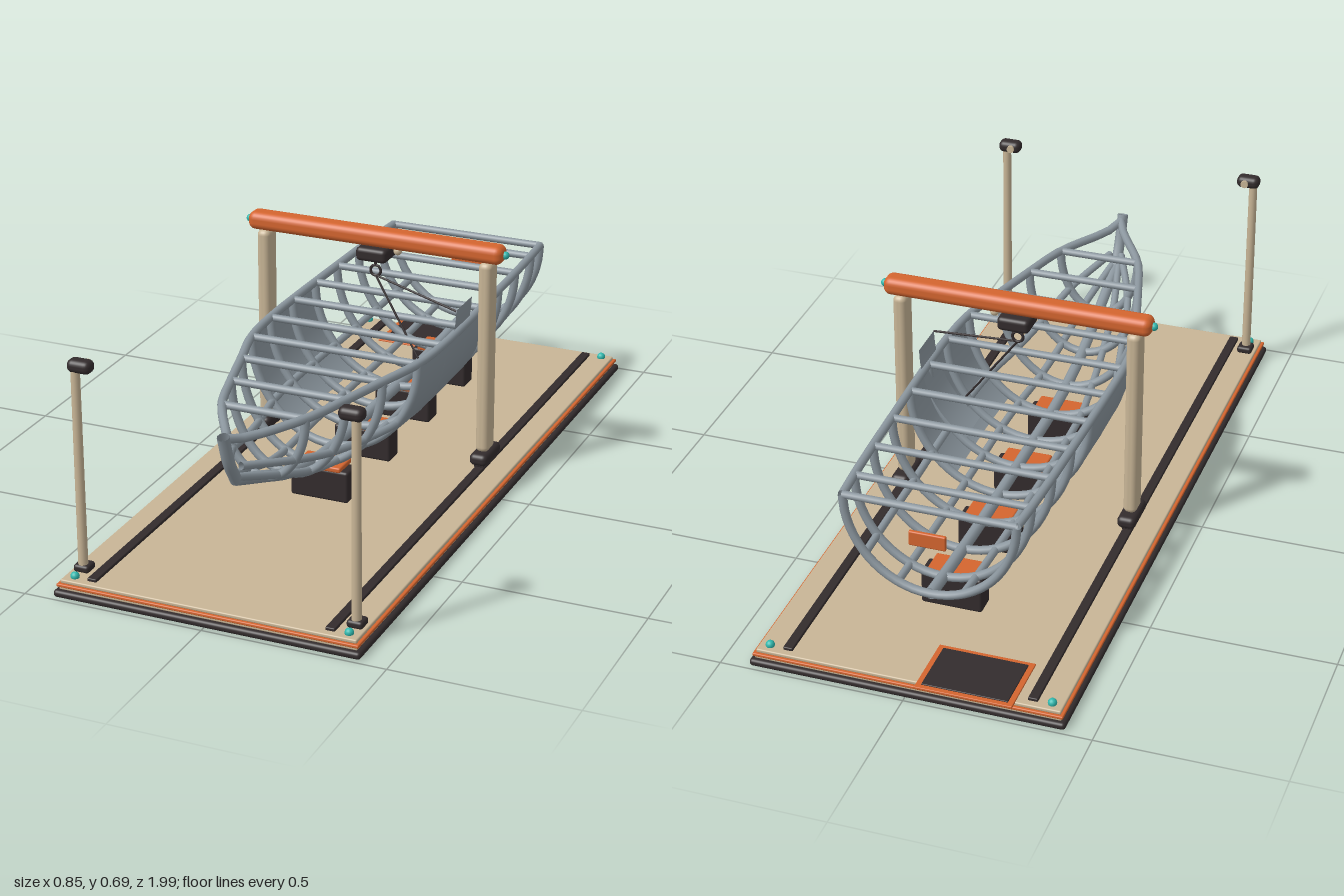
import * as THREE from 'three';
import { RoundedBoxGeometry } from 'three/addons/geometries/RoundedBoxGeometry.js';
import { ParametricGeometry } from 'three/addons/geometries/ParametricGeometry.js';

const mat = (name, color) => Object.assign(new THREE.MeshStandardMaterial({ color }), { name });
const V = (x, y, z) => new THREE.Vector3(x, y, z);

export function createModel() {
  const model = new THREE.Group();
  model.name = 'dryDock';
  const dark = mat('charcoal', 0x332c2d);
  const tan = mat('sand', 0xc8b596);
  const orange = mat('orange', 0xd4652f);
  const steel = mat('steel', 0x8c979f);
  const teal = mat('teal', 0x2fb8ae);
  steel.side = THREE.DoubleSide;

  const add = (name, geo, material, x = 0, y = 0, z = 0) => {
    const m = new THREE.Mesh(geo, material);
    m.name = name;
    m.position.set(x, y, z);
    model.add(m);
    return m;
  };
  // Box given by its lower and upper limits in y
  const block = (name, material, x, z, w, d, y0, y1, r = 0.005) =>
    add(name, new RoundedBoxGeometry(w, y1 - y0, d, 3, Math.min(r, (y1 - y0) / 2.01)),
      material, x, (y0 + y1) / 2, z);
  const tube = (name, pts, r, material, straight = false) => {
    const curve = straight ? new THREE.LineCurve3(pts[0], pts[1]) : new THREE.CatmullRomCurve3(pts);
    return add(name, new THREE.TubeGeometry(curve, straight ? 1 : 32, r, 10), material);
  };
  const ball = (name, r, material, x, y, z) =>
    add(name, new THREE.SphereGeometry(r, 14, 10), material, x, y, z);

  // Layered dock floor
  block('baseSlab', dark, 0, 0, 0.85, 1.98, 0.002, 0.022, 0.009);
  block('lowerDeck', tan, 0, 0, 0.825, 1.955, 0.022, 0.031, 0.003);
  block('trimBand', orange, 0, 0, 0.835, 1.965, 0.03, 0.039, 0.003);
  block('deck', tan, 0, 0, 0.82, 1.95, 0.038, 0.049, 0.004);

  // Framed hatch at the back
  block('hatchFrame', orange, -0.16, -0.905, 0.26, 0.19, 0.046, 0.053, 0.002);
  block('hatchPlate', dark, -0.16, -0.905, 0.23, 0.162, 0.049, 0.056, 0.002);

  for (const s of [-1, 1]) {
    // Rails and corner lights
    block('rail', dark, s * 0.33, 0, 0.026, 1.91, 0.046, 0.057, 0.003);
    for (const z of [-0.95, 0.95]) ball('cornerLight', 0.012, teal, s * 0.38, 0.053, z);

    // Gantry leg with wheeled foot
    block('gantryLeg', tan, s * 0.328, -0.105, 0.038, 0.062, 0.092, 0.648, 0.016);
    block('gantryFoot', dark, s * 0.328, -0.108, 0.052, 0.12, 0.062, 0.096, 0.014);
    for (const dz of [-0.035, 0.035]) {
      const wheel = add('gantryWheel', new THREE.CylinderGeometry(0.014, 0.014, 0.026, 16), dark,
        s * 0.328, 0.062, -0.108 + dz);
      wheel.rotation.z = Math.PI / 2;
    }
    ball('beamLight', 0.011, teal, s * 0.377, 0.67, -0.105);

    // Lamp post at the front
    add('lampPost', new THREE.CylinderGeometry(0.012, 0.013, 0.55, 16), tan, s * 0.38, 0.33, 0.905);
    block('lampFoot', dark, s * 0.38, 0.9, 0.044, 0.044, 0.047, 0.068, 0.008);
    block('lampHead', dark, s * 0.367, 0.9, 0.066, 0.042, 0.598, 0.633, 0.015);
    const lens = add('lampLens', new THREE.CylinderGeometry(0.011, 0.011, 0.008, 16), tan,
      s * 0.36, 0.615, 0.877);
    lens.rotation.x = Math.PI / 2;
  }

  // Gantry beam, trolley, hook and cables
  block('gantryBeam', orange, 0, -0.105, 0.75, 0.06, 0.645, 0.696, 0.02);
  block('trolley', dark, 0, -0.108, 0.09, 0.085, 0.606, 0.645, 0.012);
  ball('beamKnob', 0.012, tan, 0.065, 0.637, -0.105);
  tube('hookCable', [V(0, 0.61, -0.105), V(0, 0.585, -0.105)], 0.004, dark, true);
  add('hookRing', new THREE.TorusGeometry(0.015, 0.004, 8, 24), dark, 0, 0.571, -0.105);
  for (const end of [V(0.26, 0.511, -0.05), V(0.17, 0.32, -0.05)])
    tube('slingCable', [V(0, 0.557, -0.105), end], 0.003, dark, true);

  // Keel blocks with caps
  for (const [z, lift] of [[0.25, 0], [-0.04, -0.003], [-0.33, 0], [-0.61, 0.01]]) {
    block('keelBlock', dark, 0, z, 0.168, 0.064, 0.047, 0.138 + lift, 0.008);
    block('keelCap', orange, 0, z, 0.13, 0.08, 0.137 + lift, 0.152 + lift, 0.005);
  }

  // Hull stations: z, half width, keel height
  const stations = [
    [-0.79, 0.232, 0.19], [-0.695, 0.238, 0.182], [-0.55, 0.244, 0.174], [-0.405, 0.248, 0.168],
    [-0.26, 0.252, 0.166], [-0.113, 0.255, 0.165], [0.033, 0.255, 0.165], [0.18, 0.243, 0.166],
    [0.326, 0.203, 0.178], [0.473, 0.163, 0.208], [0.622, 0.117, 0.262], [0.79, 0.022, 0.325],
  ];
  const TOP = 0.443;
  // Point on a station's half-ellipse; angle 0 is the gunwale, PI / 2 the keel
  const hullPoint = ([z, a, low], angle, out = 0) =>
    V((a + out) * Math.cos(angle), TOP - (TOP - low + out) * Math.sin(angle), z);
  const ribs = stations.slice(0, -1);

  for (const st of ribs) {
    const pts = Array.from({ length: 17 }, (_, i) => hullPoint(st, (i / 16) * Math.PI));
    tube('rib', pts, 0.012, steel);
    tube('deckBeam', [V(-st[1], TOP, st[0]), V(st[1], TOP, st[0])], 0.0105, steel, true);
  }

  // Gunwales and stringers on both sides, meeting at the stem
  for (const flip of [false, true]) {
    for (const angle of [0, 0.715, 1.18]) {
      const pts = stations.map((st) => hullPoint(st, flip ? Math.PI - angle : angle));
      if (angle === 0) pts.push(V(0, 0.455, 0.835));
      tube(angle === 0 ? 'gunwale' : 'stringer', pts, angle === 0 ? 0.012 : 0.0105, steel);
    }
  }
  tube('keel', stations.map((st) => hullPoint(st, Math.PI / 2)), 0.016, steel);
  tube('stem', [V(0, 0.32, 0.785), V(0, 0.385, 0.825), V(0, 0.468, 0.855)], 0.016, steel);

  // Curved shell plates over the middle bays
  const plate = (name, a, b, side, lift = 0) =>
    add(name, new ParametricGeometry((u, v, target) => {
      const angle = u * 1.05;
      target.lerpVectors(hullPoint(a, angle, 0.011), hullPoint(b, angle, 0.011), v);
      target.x *= side;
      target.y += lift;
    }, 14, 1), steel);
  for (let i = 4; i < 7; i++)
    for (const side of [-1, 1]) plate('shellPlate', stations[i], stations[i + 1], side);

  // Shell plate hanging from the hook
  plate('hangingPlate', [-0.165, 0.249, 0.165], [-0.05, 0.249, 0.165], 1, 0.07);

  // Small plate on the stern
  block('sternPlate', orange, 0, -0.803, 0.1, 0.012, 0.34, 0.382, 0.004);
  return model;
}
